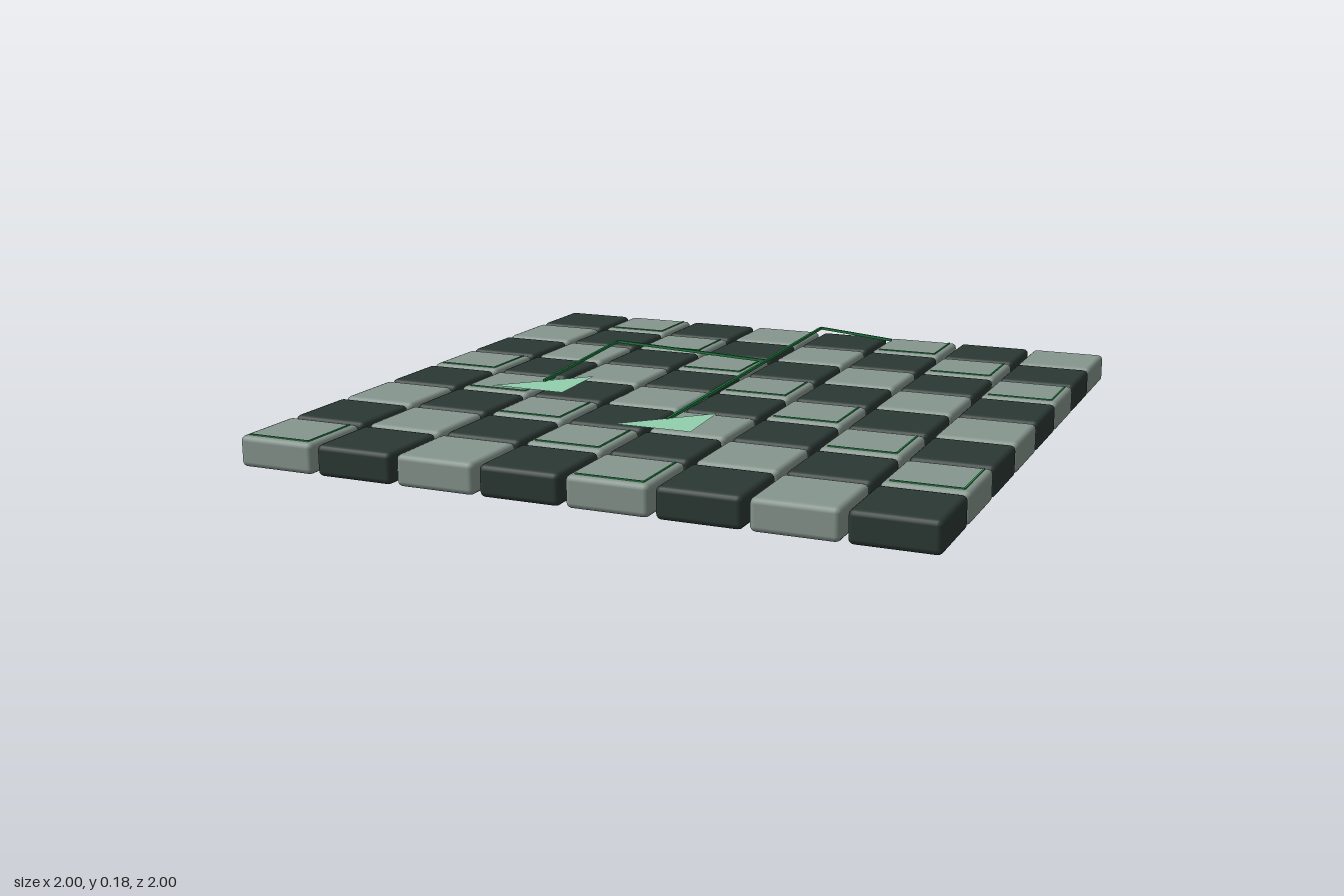
import * as THREE from 'three';
import { RoundedBoxGeometry } from 'three/addons/geometries/RoundedBoxGeometry.js';

const PITCH = 0.2266, TILE = 0.2116, HEIGHT = 0.08;

function material(name, color, side = THREE.FrontSide) {
  const m = new THREE.MeshStandardMaterial({ color, side });
  m.name = name;
  return m;
}

function addMesh(parent, name, geometry, mat, x = 0, y = 0, z = 0) {
  const mesh = new THREE.Mesh(geometry, mat);
  mesh.name = name;
  mesh.position.set(x, y, z);
  parent.add(mesh);
  return mesh;
}

// Thin bar running between two points
function addBar(parent, name, a, b, mat) {
  const from = new THREE.Vector3(...a), to = new THREE.Vector3(...b);
  const bar = addMesh(parent, name, new THREE.BoxGeometry(0.007, 0.007, from.distanceTo(to)), mat);
  bar.position.copy(from).lerp(to, 0.5);
  bar.lookAt(to);
}

// Flat horizontal triangle given as [x, z] corners
function triangleGeometry(points, y) {
  const g = new THREE.BufferGeometry();
  const flat = points.flatMap(([x, z]) => [x, y, z]);
  g.setAttribute('position', new THREE.Float32BufferAttribute(flat, 3));
  g.setIndex([0, 2, 1]);
  g.computeVertexNormals();
  return g;
}

export function createModel() {
  const model = new THREE.Group();
  model.name = 'checkeredBoard';
  const dark = material('dark green tile', 0x2b3833);
  const light = material('pale grey tile', 0x87968f);
  const trim = material('bright green trim', 0x2a9a50);
  const trail = material('green trail', 0x1f7a40);
  const mint = material('mint arrowhead', 0x93cfae, THREE.DoubleSide);

  // Turned board of separate rounded tiles
  const board = new THREE.Group();
  board.name = 'board';
  board.rotation.y = THREE.MathUtils.degToRad(-7);
  model.add(board);
  const tileGeo = new RoundedBoxGeometry(TILE, HEIGHT, TILE, 2, 0.014);
  const stripLength = 0.174, inset = 0.087;
  const stripX = new THREE.BoxGeometry(stripLength, 0.006, 0.004);
  const stripZ = new THREE.BoxGeometry(0.004, 0.006, stripLength);
  for (let row = 0; row < 8; row++) {
    for (let col = 0; col < 8; col++) {
      const x = (col - 3.5) * PITCH, z = (row - 3.5) * PITCH;
      const isDark = (row + col) % 2 === 0;
      addMesh(board, isDark ? 'darkTile' : 'lightTile', tileGeo, isDark ? dark : light, x, HEIGHT / 2, z);
      // Every second light diagonal carries a corner trim
      if ((col - row + 8) % 4 === 1) {
        addMesh(board, 'frontTrim', stripX, trim, x, HEIGHT, z + inset);
        addMesh(board, 'sideTrim', stripZ, trim, x + inset, HEIGHT, z);
      }
    }
  }

  // Two bent trails floating above the tiles, each ending in an arrowhead
  const arrows = [
    {
      path: [[-0.38, 0.152, 0.30], [-0.33, 0.172, -0.15], [0.12, 0.152, -0.10]],
      head: [[-0.495, 0.377], [-0.275, 0.205], [-0.29, 0.405]], y: 0.15,
    },
    {
      path: [[0.045, 0.143, 0.575], [0.18, 0.162, -0.55], [0.40, 0.143, -0.52]],
      head: [[-0.065, 0.655], [0.147, 0.49], [0.136, 0.68]], y: 0.145,
    },
  ];
  for (const { path, head, y } of arrows) {
    const arrow = new THREE.Group();
    arrow.name = 'arrow';
    for (let i = 0; i < path.length - 1; i++) addBar(arrow, 'trailSegment', path[i], path[i + 1], trail);
    addMesh(arrow, 'arrowhead', triangleGeometry(head, y), mint);
    model.add(arrow);
  }
  return model;
}
